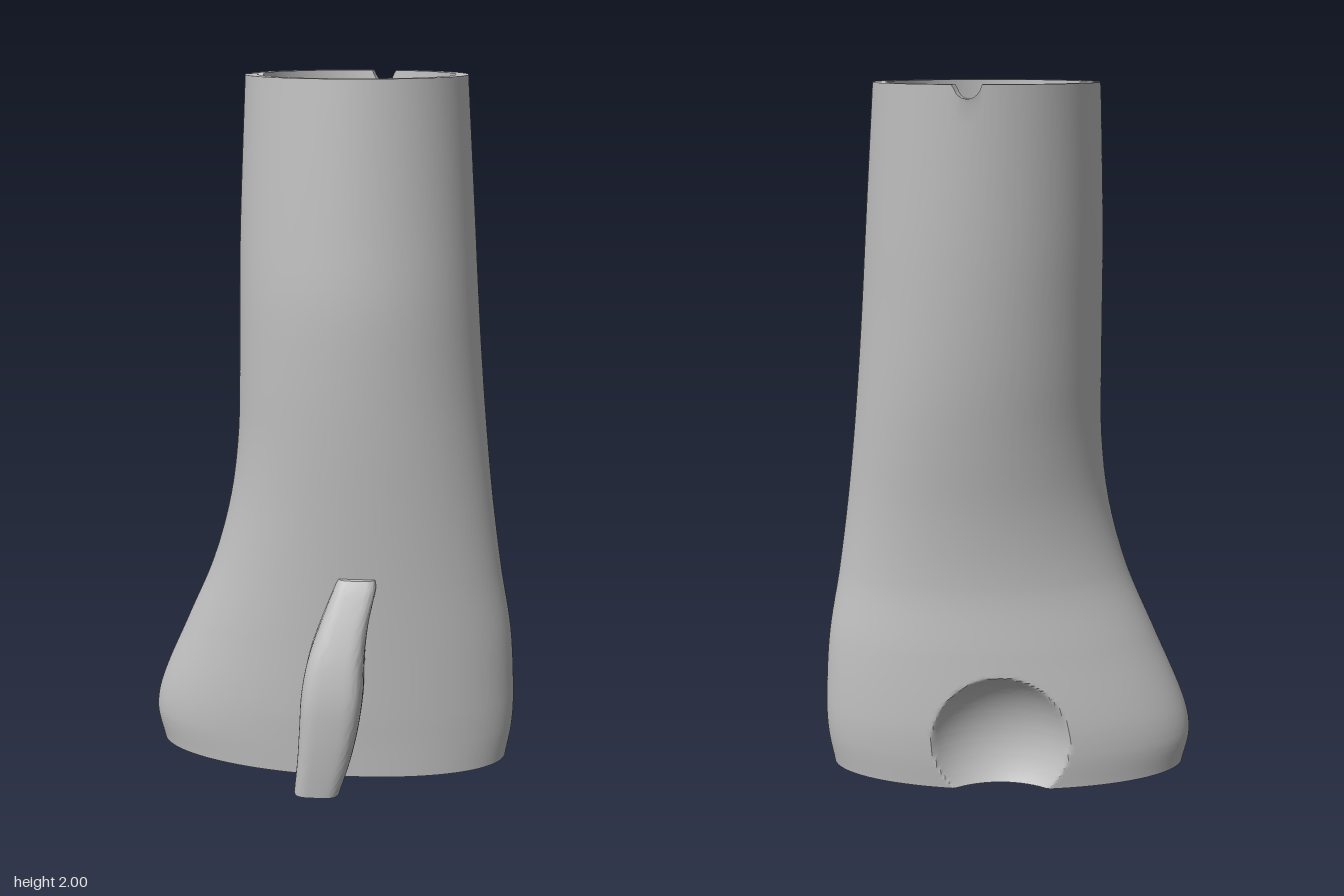
import * as THREE from 'three';
import { toCreasedNormals } from 'three/addons/utils/BufferGeometryUtils.js';

// Smooth interpolation through rows [y, a, b, c, d]
function sample(rows, y) {
  let i = 0;
  while (i < rows.length - 2 && y > rows[i + 1][0]) i++;
  const p = rows[i], q = rows[i + 1], h = q[0] - p[0], t = (y - p[0]) / h;
  const slope = (k, c) => {
    const a = rows[Math.max(k - 1, 0)], b = rows[Math.min(k + 1, rows.length - 1)];
    return (b[c] - a[c]) / (b[0] - a[0]);
  };
  return p.map((_, c) => {
    const t2 = t * t, t3 = t2 * t;
    return (2 * t3 - 3 * t2 + 1) * p[c] + (t3 - 2 * t2 + t) * h * slope(i, c)
      + (3 * t2 - 2 * t3) * q[c] + (t3 - t2) * h * slope(i + 1, c);
  });
}

// Skin over closed rings of points
function loft(rings, crease) {
  const n = rings[0].length, index = [];
  for (let i = 0; i < rings.length - 1; i++) {
    for (let j = 0; j < n; j++) {
      const k = (j + 1) % n, a = i * n, b = a + n;
      index.push(a + j, b + j, a + k, b + j, b + k, a + k);
    }
  }
  const g = new THREE.BufferGeometry();
  g.setAttribute('position', new THREE.Float32BufferAttribute(rings.flat(2), 3));
  g.setIndex(index);
  return toCreasedNormals(g, crease);
}

const ring = (n, point) => Array.from({ length: n }, (_, j) => point(j / n * Math.PI * 2));

// Shaft outline: y, min x, max x, min z, max z
const SHAFT = [
  [0, -0.525, 0.52, -0.245, 0.205], [0.1, -0.545, 0.537, -0.255, 0.212],
  [0.2, -0.525, 0.54, -0.256, 0.22], [0.4, -0.44, 0.527, -0.24, 0.232],
  [0.6, -0.355, 0.493, -0.222, 0.245], [0.8, -0.3, 0.465, -0.233, 0.26],
  [1, -0.275, 0.443, -0.263, 0.275], [1.2, -0.27, 0.425, -0.295, 0.286],
  [1.4, -0.268, 0.41, -0.32, 0.29], [1.6, -0.265, 0.397, -0.34, 0.278],
  [2, -0.25, 0.37, -0.37, 0.25],
];

// Front ridge outline: y, min x, max x, min z, max z
const RIDGE = [
  [0, -0.092, 0.04, 0.2, 0.35], [0.1, -0.082, 0.07, 0.19, 0.362],
  [0.2, -0.076, 0.092, 0.18, 0.37], [0.3, -0.07, 0.105, 0.18, 0.37],
  [0.4, -0.052, 0.107, 0.18, 0.353], [0.5, -0.018, 0.117, 0.18, 0.32],
  [0.6, 0.02, 0.137, 0.18, 0.277], [0.625, 0.03, 0.136, 0.18, 0.262],
];

const SEG = 288;

// Depth of the two round grooves cut across the top rim
function grooveDepth(angle, r) {
  let depth = 0;
  for (const c of [3.26, 4.949]) {
    const d = r * (angle - c);
    depth = Math.max(depth, Math.sqrt(Math.max(0, 0.036 ** 2 - d * d)));
  }
  return depth;
}

// Round hollow scooped into the lower back
function scoop(x, y, z) {
  const d = 0.27 ** 2 - (x - 0.055) ** 2 - (y - 0.14) ** 2;
  return z < 0 && d > 0 ? Math.max(z, -0.42 + Math.sqrt(d)) : z;
}

function shaftGeometry() {
  const rings = [ring(SEG, () => [0, 0, -0.025])];
  const heights = [];
  for (let i = 0; i < 75; i++) heights.push(i * 0.008);
  for (let i = 0; i <= 28; i++) heights.push(0.6 + i * 0.05);
  // Outer wall
  for (const y of heights) {
    const [, x0, x1, z0, z1] = sample(SHAFT, y);
    const cx = (x0 + x1) / 2, cz = (z0 + z1) / 2;
    const skew = 0.065 * Math.max(0, 1 - y / 1.1);
    rings.push(ring(SEG, a => {
      const x = cx + (x1 - x0) / 2 * Math.cos(a);
      const z = cz + (z1 - z0) / 2 * Math.sin(a) + skew * (x - cx);
      return [x, y > 1.99 ? 2 - grooveDepth(a, 0.31) : y, scoop(x, y, z)];
    }));
  }
  // Inner wall of the socket
  for (let i = 0; i <= 10; i++) {
    const t = i / 10, r = 0.275 - 0.037 * t;
    rings.push(ring(SEG, a => [
      0.06 + 0.025 * t + r * Math.cos(a),
      2 - 1.1 * t - (i ? 0 : grooveDepth(a, 0.31)),
      -0.06 + 0.055 * t + r * Math.sin(a),
    ]));
  }
  // Conical socket floor with a small flat tip
  for (const r of [0.035, 0]) {
    rings.push(ring(SEG, a => [0.06 + r * Math.cos(a), 0.75, -0.065 + r * 0.5 * Math.sin(a)]));
  }
  return loft(rings, 0.6);
}

function ridgeGeometry() {
  const N = 48, rings = [];
  const power = v => Math.sign(v) * Math.abs(v) ** 0.5;
  const section = (y, scale) => {
    const [, x0, x1, z0, z1] = sample(RIDGE, y);
    return ring(N, a => [
      (x0 + x1) / 2 + scale * (x1 - x0) / 2 * power(Math.cos(a)), y,
      (z0 + z1) / 2 + scale * (z1 - z0) / 2 * power(Math.sin(a)),
    ]);
  };
  rings.push(section(0, 0));
  for (let i = 0; i <= 30; i++) rings.push(section(0.625 * i / 30, 1));
  rings.push(section(0.625, 0));
  return loft(rings, 0.7);
}

export function createModel() {
  const grey = new THREE.MeshStandardMaterial({ color: 0xc0c0c0 });
  grey.name = 'light grey';
  const model = new THREE.Group();
  model.name = 'hollowFlaredShaft';
  for (const [name, geometry] of [['shaft', shaftGeometry()], ['frontRidge', ridgeGeometry()]]) {
    const mesh = new THREE.Mesh(geometry, grey);
    mesh.name = name;
    model.add(mesh);
  }
  return model;
}
